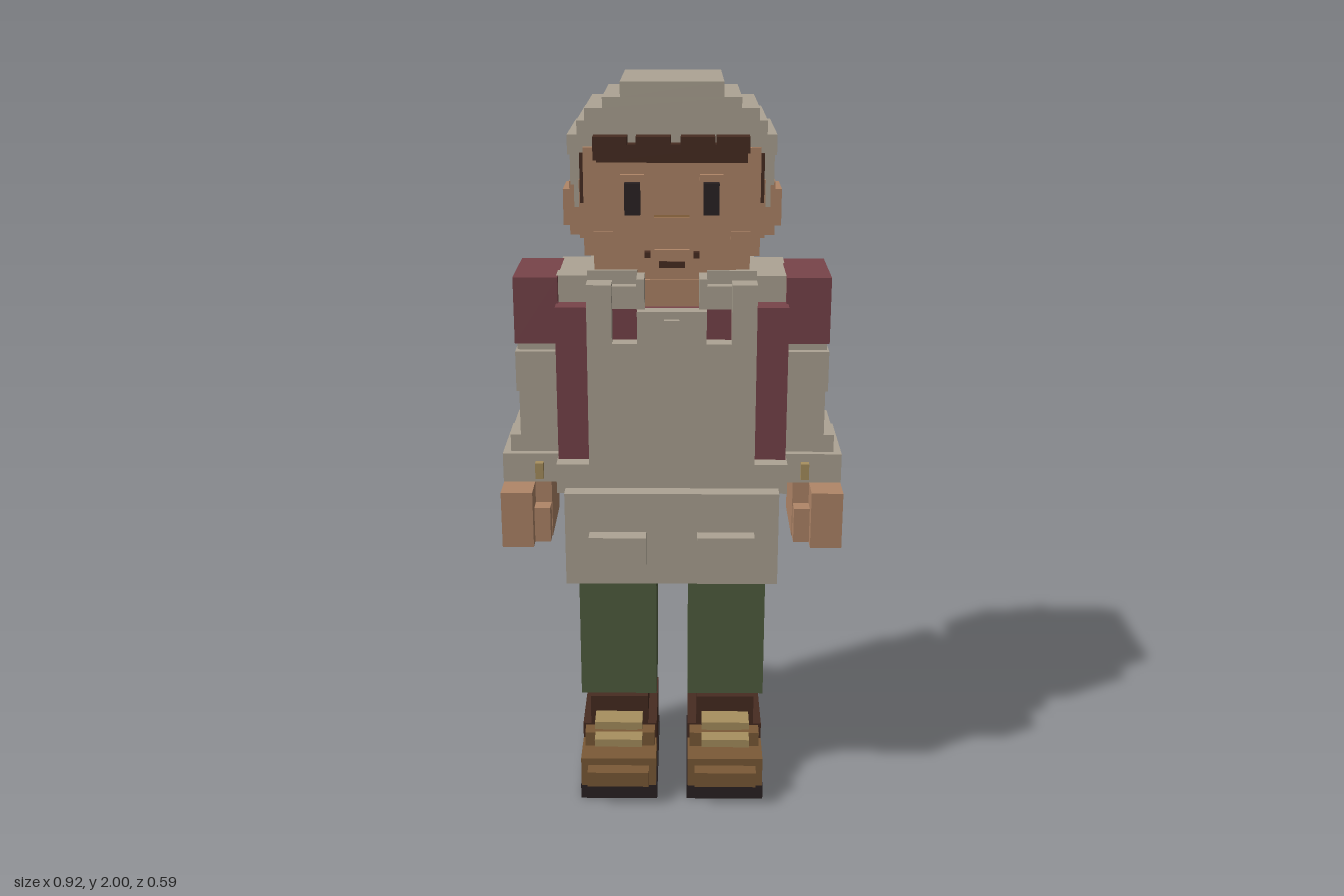
import * as THREE from 'three';

const mat = (name, color) => {
  const m = new THREE.MeshStandardMaterial({ color });
  m.name = name;
  return m;
};

export function createModel() {
  const root = new THREE.Group();
  root.name = 'blockFigure';
  const beige = mat('beige', 0xada494), maroon = mat('maroon', 0x78444a), skin = mat('skin', 0xb08668);
  const green = mat('green', 0x515e40), darkBrown = mat('darkBrown', 0x472c21), brown = mat('brown', 0x7b5a37);
  const lace = mat('lace', 0xa8905f), black = mat('black', 0x2a2223);

  // Box given by its extents on x, y and z
  const box = (name, m, x0, x1, y0, y1, z0, z1) => {
    const mesh = new THREE.Mesh(new THREE.BoxGeometry(x1 - x0, y1 - y0, z1 - z0), m);
    mesh.position.set((x0 + x1) / 2, (y0 + y1) / 2, (z0 + z1) / 2);
    mesh.name = name;
    root.add(mesh);
  };
  // Box centred on x = 0
  const mid = (name, m, w, ...r) => box(name, m, -w, w, ...r);
  // The same box on both sides
  const pair = (name, m, x0, x1, ...r) => {
    box(name + 'Left', m, x0, x1, ...r);
    box(name + 'Right', m, -x1, -x0, ...r);
  };

  // Shoes
  pair('sole', black, 0.042, 0.26, 0, 0.045, -0.16, 0.232);
  pair('shoeHeel', darkBrown, 0.045, 0.258, 0.045, 0.18, -0.158, 0.12);
  pair('shoeToe', brown, 0.045, 0.258, 0.045, 0.132, 0.12, 0.235);
  pair('shoeTongue', brown, 0.05, 0.25, 0.132, 0.175, 0.12, 0.165);
  pair('toeCap', brown, 0.065, 0.238, 0.065, 0.11, 0.235, 0.275);
  pair('ankle', darkBrown, 0.07, 0.235, 0.18, 0.268, -0.115, 0.12);
  pair('upperLace', lace, 0.085, 0.22, 0.198, 0.22, 0.12, 0.185);
  pair('lowerLace', lace, 0.085, 0.22, 0.155, 0.178, 0.165, 0.21);
  pair('laceKnot', lace, 0.1, 0.2, 0.178, 0.198, 0.12, 0.155);

  // Trousers and belt
  pair('leg', green, 0.045, 0.262, 0.268, 0.78, -0.14, 0.1);
  mid('hips', green, 0.265, 0.77, 0.862, -0.16, 0.12);
  mid('belt', darkBrown, 0.29, 0.862, 0.93, -0.185, 0.16);

  // Torso and back details
  mid('torso', maroon, 0.305, 0.93, 1.43, -0.165, 0.165);
  mid('upperBack', maroon, 0.24, 1.02, 1.4, -0.18, -0.165);
  pair('backSide', maroon, 0.24, 0.305, 0.95, 1.43, -0.187, -0.165);
  mid('backPocket', maroon, 0.105, 1.21, 1.35, -0.205, -0.18);
  mid('backSeam', maroon, 0.14, 1.07, 1.1, -0.19, -0.18);
  pair('backStrap', beige, 0.145, 0.205, 1.04, 1.48, -0.225, -0.165);
  for (let i = 0; i < 6; i++) {
    const y = 1.06 + i * 0.065;
    box('strapStitch', beige, 0.205, 0.228, y, y + 0.03, -0.222, -0.18);
  }
  box('strapButton', maroon, -0.235, -0.205, 1.04, 1.08, -0.215, -0.165);
  pair('shoulder', beige, 0.1, 0.305, 1.43, 1.5, -0.14, 0.1);
  pair('collarSide', beige, 0.09, 0.22, 1.46, 1.525, -0.16, 0.15);
  mid('collarBack', beige, 0.22, 1.43, 1.525, -0.16, -0.1);

  // Apron
  mid('apronSkirt', beige, 0.285, 0.685, 0.945, 0.205, 0.25);
  pair('apronPocket', beige, 0.068, 0.22, 0.752, 0.836, 0.25, 0.293);
  mid('waistBand', beige, 0.308, 0.93, 1.012, 0.1, 0.206);
  mid('bib', beige, 0.22, 1.012, 1.345, 0.165, 0.21);
  mid('bibTop', beige, 0.09, 1.345, 1.43, 0.165, 0.21);
  pair('frontStrap', beige, 0.155, 0.22, 1.345, 1.5, 0.12, 0.21);
  pair('collarFront', beige, 0.07, 0.2, 1.43, 1.49, 0.1, 0.18);
  pair('collarTip', beige, 0.07, 0.09, 1.46, 1.52, 0.15, 0.232);
  mid('bibButton', beige, 0.02, 1.385, 1.41, 0.21, 0.225);

  // Arms
  pair('sleeveCap', maroon, 0.3, 0.417, 1.322, 1.5, -0.12, 0.12);
  pair('sleeve', beige, 0.3, 0.412, 1.01, 1.322, -0.115, 0.1);
  pair('upperFold', beige, 0.305, 0.417, 1.19, 1.3, -0.12, 0.12);
  pair('lowerFold', beige, 0.305, 0.44, 1.01, 1.06, -0.122, 0.1);
  pair('cuff', beige, 0.305, 0.461, 0.93, 1.012, -0.143, 0.12);
  pair('cuffButton', lace, 0.35, 0.372, 0.945, 0.99, 0.12, 0.14);

  // Hands
  pair('palm', skin, 0.33, 0.458, 0.772, 0.93, -0.097, 0.12);
  pair('fingers', skin, 0.375, 0.46, 0.772, 0.93, 0.12, 0.205);
  pair('thumb', skin, 0.332, 0.375, 0.772, 0.87, 0.12, 0.165);

  // Head
  mid('neck', skin, 0.075, 1.42, 1.5, -0.1, 0.15);
  mid('chin', skin, 0.165, 1.5, 1.535, -0.13, 0.14);
  mid('jaw', skin, 0.2, 1.53, 1.57, -0.14, 0.158);
  mid('head', skin, 0.225, 1.565, 1.84, -0.14, 0.155);
  mid('face', skin, 0.2, 1.565, 1.84, 0.155, 0.165);
  pair('cheek', skin, 0.225, 0.24, 1.6, 1.75, -0.1, 0.1);
  pair('ear', skin, 0.24, 0.268, 1.6, 1.74, -0.075, 0.055);
  pair('earRim', skin, 0.268, 0.285, 1.625, 1.72, -0.075, 0.055);
  pair('cheekMark', skin, 0.15, 0.2, 1.61, 1.63, 0.165, 0.172);

  // Facial features
  pair('eye', black, 0.08, 0.12, 1.675, 1.755, 0.165, 0.188);
  pair('brow', skin, 0.07, 0.13, 1.76, 1.775, 0.165, 0.18);
  mid('nose', brown, 0.045, 1.632, 1.672, 0.165, 0.2);
  mid('noseFront', skin, 0.045, 1.632, 1.672, 0.2, 0.206);
  mid('mouth', darkBrown, 0.033, 1.54, 1.556, 0.158, 0.186);
  mid('lip', skin, 0.045, 1.556, 1.585, 0.165, 0.18);
  pair('mouthCorner', darkBrown, 0.055, 0.07, 1.565, 1.58, 0.165, 0.186);

  // Hair
  [[-0.198, -0.112], [-0.09, -0.003], [0.022, 0.108], [0.112, 0.195]].forEach(([a, b], i) =>
    box('fringe' + i, darkBrown, a, b, i % 2 ? 1.83 : 1.812, 1.87, 0.13, 0.188));
  mid('hairLine', darkBrown, 0.19, 1.805, 1.85, 0.13, 0.176);
  pair('sideburn', darkBrown, 0.212, 0.234, 1.7, 1.825, 0.07, 0.15);
  mid('backHair', darkBrown, 0.2, 1.625, 1.7, -0.19, -0.13);

  // Cap, stepped towards the crown
  [[0.265, 1.82, 1.87], [0.24, 1.865, 1.905], [0.22, 1.905, 1.935], [0.175, 1.935, 1.962], [0.13, 1.962, 2]]
    .forEach(([w, y0, y1], i) => mid('capLayer' + i, beige, w, y0, y1, -0.208, 0.14));
  pair('capSide', beige, 0.225, 0.263, 1.735, 1.82, -0.2, 0.08);
  pair('capFlap', beige, 0.225, 0.255, 1.675, 1.735, -0.14, 0.065);
  mid('capBack', beige, 0.25, 1.675, 1.82, -0.205, -0.14);
  mid('capBackPanel', beige, 0.22, 1.69, 1.865, -0.232, -0.2);
  box('capKnot', beige, 0.11, 0.22, 1.67, 1.785, -0.295, -0.225);
  box('capTail', beige, 0.125, 0.205, 1.57, 1.67, -0.272, -0.228);

  return root;
}
